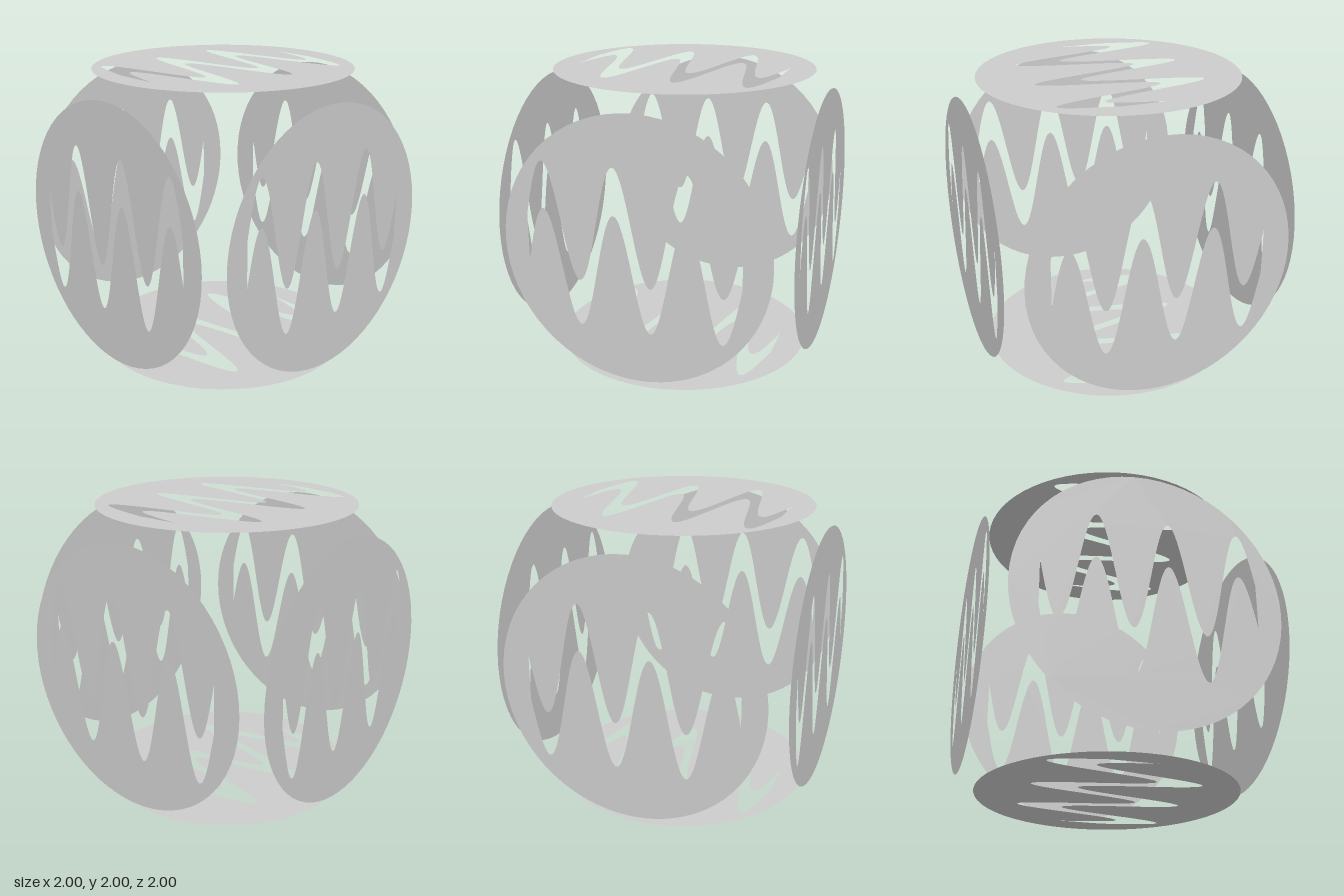
import * as THREE from 'three';

const RADIUS = 0.897;
const PERIOD = 0.48, AMPLITUDE = 0.39, FIRST_PEAK = -0.615;
const SLOT_START = -0.73, SLOT_END = 0.705;

// Points along one cosine edge of the slot
function waveEdge(centre, steps = 120) {
  const points = [];
  for (let i = 0; i <= steps; i++) {
    const x = THREE.MathUtils.lerp(SLOT_START, SLOT_END, i / steps);
    const y = centre + AMPLITUDE * Math.cos((2 * Math.PI * (x - FIRST_PEAK)) / PERIOD);
    points.push(new THREE.Vector2(x, y));
  }
  return points;
}

// Flat disc pierced by a wavy slot
function waveDisc() {
  const disc = new THREE.Shape().absarc(0, 0, RADIUS, 0, Math.PI * 2, false);
  const slot = [...waveEdge(-0.155), ...waveEdge(0.16).reverse()];
  disc.holes.push(new THREE.Path(slot));
  return new THREE.ShapeGeometry(disc, 32);
}

export function createModel() {
  const model = new THREE.Group();
  model.name = 'sixDiscCube';
  const material = new THREE.MeshStandardMaterial({ color: 0xcccccc, side: THREE.DoubleSide });
  const geometry = waveDisc();

  // Opposite discs share an orientation, so their slots line up
  const pairs = [
    { names: ['frontDisc', 'backDisc'], axis: [0, 0, 1], turn: [0, 0, 0] },
    { names: ['leftDisc', 'rightDisc'], axis: [1, 0, 0], turn: [0, Math.PI / 2, 0] },
    { names: ['topDisc', 'bottomDisc'], axis: [0, 1, 0], turn: [-Math.PI / 2, 0, 0] },
  ];
  for (const { names, axis, turn } of pairs) {
    names.forEach((name, i) => {
      const disc = new THREE.Mesh(geometry, material);
      disc.name = name;
      disc.rotation.set(...turn);
      disc.position.set(...axis).multiplyScalar(i === 0 ? 1 : -1);
      disc.position.y += 1;
      model.add(disc);
    });
  }
  return model;
}
